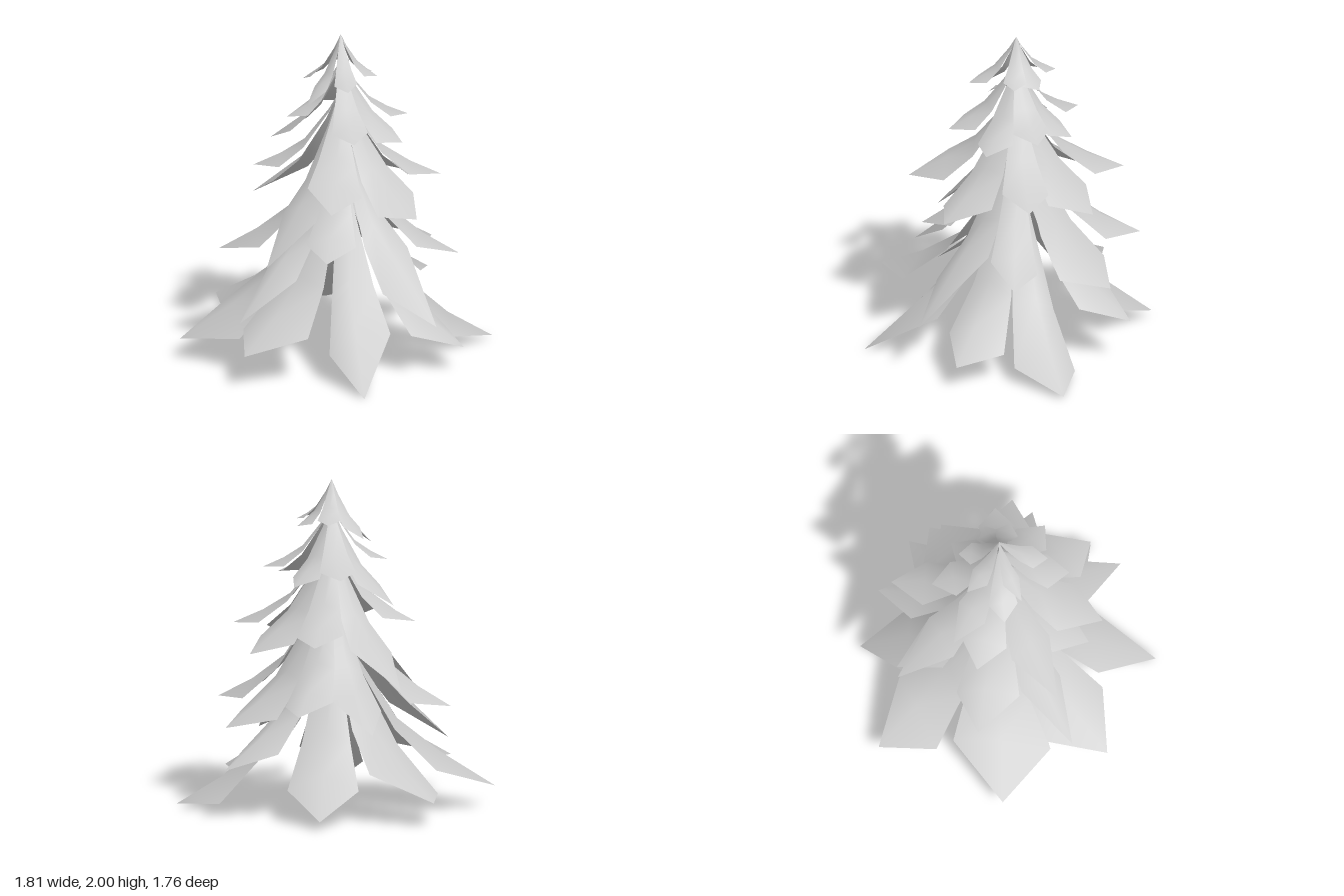
import * as THREE from 'three';

// Trunk axis that all branches grow from
const AXIS_X = 0.035, AXIS_Z = -0.05;

// Rows from the root to the shoulders, as fractions of the shoulder's
// [reach, edge drop, ridge drop, width]
const ROWS = [
  [0, 0, 0, 0.04],
  [0.2, 0.3, 0.27, 0.28],
  [0.6, 0.75, 0.69, 0.68],
  [1, 1, 0.9, 1],
];
const SHOULDER_REACH = 0.74;

// A pointed, drooping blade with a raised ridge, from the axis to its tip.
// The drops say how far down each shoulder hangs (1 = tip height).
function branchGeometry(peak, [x, y, z, leftWidth, rightWidth, leftDrop, rightDrop]) {
  const dx = x - AXIS_X, dz = z - AXIS_Z, reach = Math.hypot(dx, dz);
  const sideX = dz / reach, sideZ = -dx / reach;
  const across = [
    [-rightWidth, rightDrop],
    [0, (leftDrop + rightDrop) / 2],
    [leftWidth, leftDrop],
  ];
  const points = [], faces = [];
  ROWS.forEach(([along, edge, ridge, w], row) => {
    for (const [offset, shoulder] of across) {
      const t = along * shoulder * SHOULDER_REACH;
      points.push(
        AXIS_X + dx * t + sideX * w * offset,
        peak + (y - peak) * shoulder * (offset ? edge : ridge),
        AXIS_Z + dz * t + sideZ * w * offset);
    }
    if (row === 0) return;
    for (let i = 0; i < 2; i++) {
      const a = (row - 1) * 3 + i, b = a + 3;
      faces.push(a, b, a + 1, a + 1, b, b + 1);
    }
  });
  // Pointed end
  const last = (ROWS.length - 1) * 3, tip = last + 3;
  points.push(x, y, z);
  faces.push(last, tip, last + 1, last + 1, tip, last + 2);

  const geometry = new THREE.BufferGeometry();
  geometry.setAttribute('position', new THREE.Float32BufferAttribute(points, 3));
  geometry.setIndex(faces);
  geometry.computeVertexNormals();
  return geometry;
}

export function createModel() {
  const tree = new THREE.Group();
  tree.name = 'firTree';
  const material = new THREE.MeshStandardMaterial({ color: 0xcccccc, side: THREE.DoubleSide });

  // Branches: [tip x, y, z, left width, right width, left drop, right drop]
  function addTier(name, peak, branches) {
    const tier = new THREE.Group();
    tier.name = name;
    branches.forEach((branch, i) => {
      const mesh = new THREE.Mesh(branchGeometry(peak, branch), material);
      mesh.name = `branch${i + 1}`;
      tier.add(mesh);
    });
    tree.add(tier);
  }

  addTier('bottomTier', 1.22, [
    [-0.91, 0.15, 0.15, 0.24, 0.21, 1, 0.86],
    [-0.43, 0.13, 0.82, 0.295, 0.29, 0.93, 0.87],
    [0.26, 0.21, 0.88, 0.247, 0.226, 0.92, 0.95],
    [0.85, 0, 0.43, 0.22, 0.16, 0.78, 0.86],
    [0.84, 0.16, -0.35, 0.205, 0.17, 0.98, 0.93],
    [0.46, 0.02, -0.88, 0.155, 0.217, 0.98, 0.93],
    [-0.13, 0.31, -0.86, 0.167, 0.16, 0.9, 0.92],
    [-0.67, 0.05, -0.5, 0.21, 0.22, 0.88, 0.88],
  ]);
  addTier('lowerTier', 1.42, [
    [0.9, 0.36, -0.09, 0.16, 0.145, 0.66, 0.85],
    [0.08, 0.35, 0.77, 0.13, 0.13, 0.79, 0.75],
    [0.55, 0.64, -0.55, 0.135, 0.145, 0.98, 0.9],
    [-0.02, 0.55, -0.8, 0.21, 0.2, 0.93, 0.94],
    [-0.51, 0.67, -0.56, 0.15, 0.14, 0.92, 0.97],
    [-0.43, 0.64, 0.52, 0.21, 0.17, 0.9, 0.95],
    [-0.63, 0.54, -0.12, 0.15, 0.15, 0.88, 0.8],
    [0.42, 0.73, 0.37, 0.15, 0.15, 0.92, 0.92],
  ]);
  addTier('middleTier', 1.65, [
    [-0.71, 0.82, 0.03, 0.14, 0.14, 0.79, 0.75],
    [0.09, 0.66, 0.57, 0.135, 0.14, 0.74, 0.74],
    [0.7, 0.99, -0.1, 0.185, 0.155, 0.89, 0.99],
    [-0.03, 0.99, -0.64, 0.18, 0.18, 0.9, 0.9],
    [-0.49, 1.08, -0.44, 0.14, 0.14, 0.92, 0.95],
    [-0.33, 1.16, 0.33, 0.14, 0.14, 0.93, 0.93],
    [0.5, 1.07, 0.4, 0.165, 0.165, 0.92, 0.85],
    [0.4, 1.11, -0.53, 0.14, 0.14, 0.95, 0.92],
  ]);
  addTier('upperTier', 1.84, [
    [-0.39, 1.28, 0.15, 0.1, 0.1, 0.83, 0.78],
    [0.41, 1.44, 0.15, 0.11, 0.11, 0.93, 0.93],
    [0.44, 1.39, -0.2, 0.11, 0.11, 0.92, 0.98],
    [0.22, 1.47, -0.42, 0.11, 0.11, 0.95, 0.93],
    [-0.11, 1.39, -0.38, 0.1, 0.1, 0.9, 0.92],
    [-0.35, 1.45, -0.19, 0.11, 0.11, 0.92, 0.92],
    [-0.1, 1.51, 0.26, 0.09, 0.085, 0.92, 0.92],
  ]);
  addTier('topTier', 2, [
    [0.29, 1.73, 0.1, 0.07, 0.07, 0.92, 0.95],
    [-0.23, 1.67, 0.03, 0.07, 0.06, 0.85, 0.8],
    [0.04, 1.6, 0.22, 0.05, 0.06, 0.78, 0.78],
    [0.06, 1.73, -0.27, 0.07, 0.07, 0.93, 0.93],
    [-0.17, 1.76, -0.18, 0.07, 0.07, 0.93, 0.93],
    [0.2, 1.75, -0.2, 0.07, 0.07, 0.93, 0.93],
  ]);
  return tree;
}
